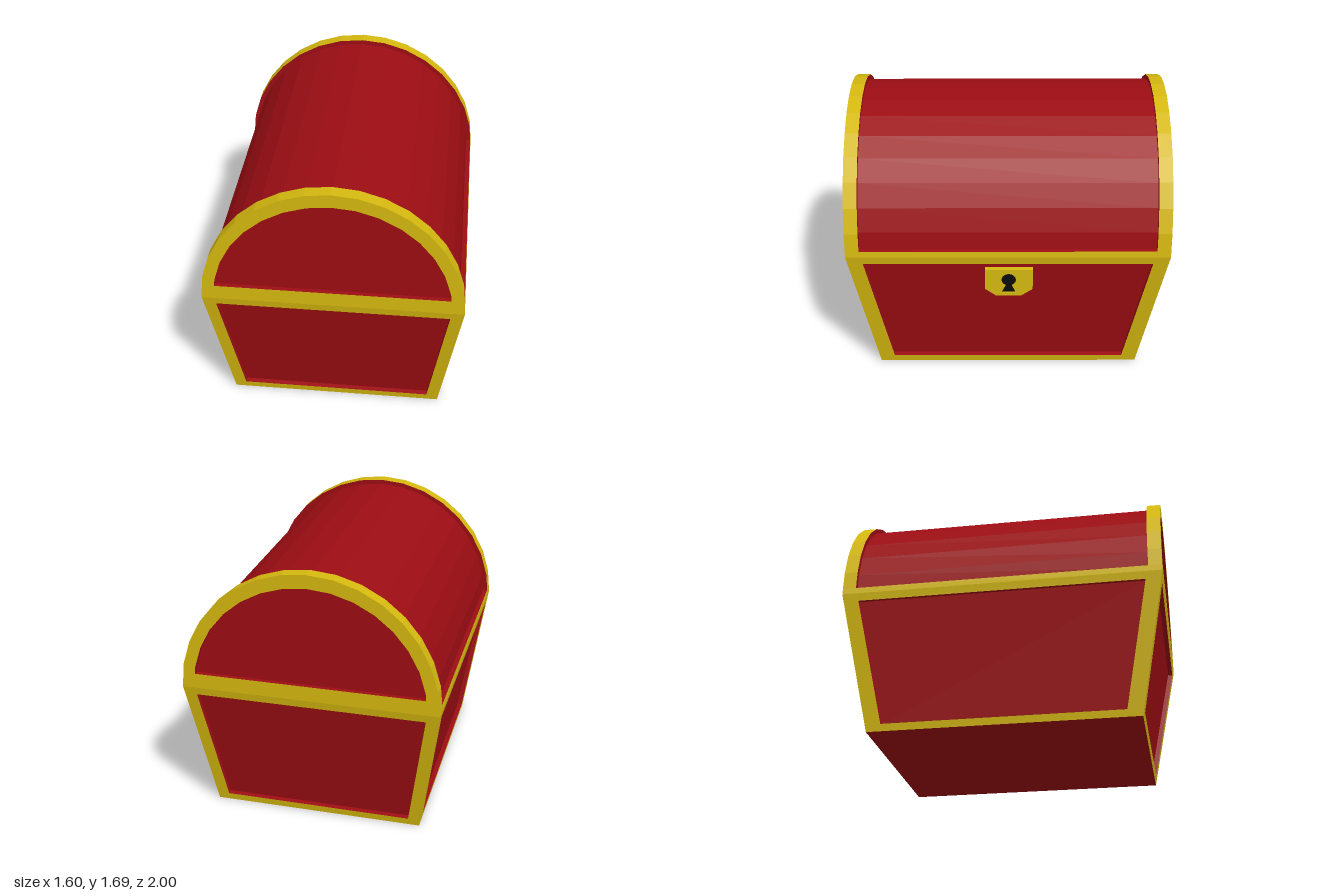
import * as THREE from 'three';

const material = (color) => new THREE.MeshStandardMaterial({ color, flatShading: true, side: THREE.DoubleSide });

// Collects quads and fans into one flat-shaded mesh
class Surface {
  constructor() { this.points = []; }
  strip(a, b, closed = false) {
    const n = closed ? a.length : a.length - 1;
    for (let i = 0; i < n; i++) {
      const j = (i + 1) % a.length;
      this.points.push(a[i], a[j], b[j], a[i], b[j], b[i]);
    }
    return this;
  }
  cap(loop) {
    for (let i = 1; i < loop.length - 1; i++) this.points.push(loop[0], loop[i], loop[i + 1]);
    return this;
  }
  mesh(name, mat) {
    const geometry = new THREE.BufferGeometry().setFromPoints(this.points);
    geometry.computeVertexNormals();
    const mesh = new THREE.Mesh(geometry, mat);
    mesh.name = name;
    return mesh;
  }
}

const V = (x, y, z) => new THREE.Vector3(x, y, z);
const RIM = 0.88;     // height where base and lid meet
const INSET = 0.03;   // depth of all recessed panels

// Half ellipse from +x over the top to -x
function arch(rx, ry, firstY, firstX) {
  const pts = [];
  for (let i = 0; i <= 16; i++) {
    const a = (i / 16) * Math.PI;
    pts.push([rx * Math.cos(a), RIM + ry * Math.sin(a)]);
  }
  if (firstY !== undefined) {
    pts[0] = [firstX, firstY];
    pts[16] = [-firstX, firstY];
  }
  return pts;
}
const atZ = (pts, z) => pts.map(([x, y]) => V(x, y, z));

// Raised border around a sunken panel; both loops run counterclockwise
function framedPanel(name, outer, inner, inward, gold, red) {
  const group = new THREE.Group();
  group.name = name;
  const sunk = inner.map((p) => p.clone().add(inward));
  group.add(new Surface().strip(outer, inner, true).mesh(name + 'Frame', gold));
  group.add(new Surface().strip(inner, sunk, true).cap(sunk).mesh(name + 'Panel', red));
  return group;
}

// One sloping wall of the base, facing +z
function baseWall(name, wBottom, wTop, dBottom, dTop, pBottom, pTop, gold, red) {
  const slope = (dTop - dBottom) / RIM;
  const quad = (y0, w0, y1, w1) =>
    [[-w0, y0], [w0, y0], [w1, y1], [-w1, y1]].map(([x, y]) => V(x, y, dBottom + slope * y));
  const inward = V(0, slope, -1).setLength(INSET);
  return framedPanel(name, quad(0, wBottom, RIM, wTop), quad(0.045, pBottom, 0.83, pTop), inward, gold, red);
}

function keyholeShape(Type) {
  const s = new Type();
  const r = 0.045, cy = 0.71, cx = 0.004;
  s.moveTo(cx - 0.045, 0.62);
  s.lineTo(cx + 0.045, 0.62);
  s.lineTo(cx + 0.02, cy - 0.04);
  s.absarc(cx, cy, r, -1.107, Math.PI + 1.107, false);
  s.closePath();
  return s;
}

function createLock(gold, black) {
  const lock = new THREE.Group();
  lock.name = 'lock';
  const plate = new THREE.Shape([[-0.143, 0.645], [-0.073, 0.595], [0.08, 0.595], [0.154, 0.645],
    [0.154, 0.785], [-0.143, 0.785]].map(([x, y]) => new THREE.Vector2(x, y)));
  plate.holes.push(keyholeShape(THREE.Path));
  const body = new THREE.Mesh(
    new THREE.ExtrudeGeometry(plate, { depth: 0.09, bevelEnabled: false, curveSegments: 16 }), gold);
  body.name = 'lockPlate';
  const hole = new THREE.Mesh(
    new THREE.ExtrudeGeometry(keyholeShape(THREE.Shape), { depth: 0.08, bevelEnabled: false, curveSegments: 16 }), black);
  hole.name = 'keyhole';
  lock.add(body, hole);
  lock.position.x = 0.702;
  lock.rotation.y = Math.PI / 2;
  return lock;
}

export function createModel() {
  const gold = material(0xd4b80f), red = material(0x9c0d13), black = material(0x0a0a0a);
  const chest = new THREE.Group();
  chest.name = 'chest';

  // Base walls and end panels of the lid, made in opposite pairs
  for (const [side, turn] of [['front', 0], ['back', Math.PI]]) {
    const end = baseWall(side + 'Wall', 0.665, 0.8, 0.835, 1, 0.595, 0.715, gold, red);
    end.rotation.y = turn;
    const lidEnd = framedPanel(side + 'LidEnd', atZ(arch(0.8, 0.81), 1),
      atZ(arch(0.725, 0.725, 0.975, 0.715), 1), V(0, 0, -INSET), gold, red);
    lidEnd.rotation.y = turn;
    const long = baseWall(side === 'front' ? 'leftWall' : 'rightWall',
      0.835, 1, 0.665, 0.8, 0.745, 0.895, gold, red);
    long.rotation.y = turn + Math.PI / 2;
    chest.add(end, lidEnd, long);
  }

  // Underside
  chest.add(new Surface().cap([V(-0.665, 0, -0.835), V(0.665, 0, -0.835), V(0.665, 0, 0.835), V(-0.665, 0, 0.835)])
    .mesh('underside', red));

  // Lid: gold hoops at both ends and a gold strip along each lower edge
  const Z = 0.915;
  const hoop = arch(0.8, 0.81, 0.92, 0.796);
  const barrel = arch(0.8 - INSET, 0.81 - INSET, 0.92, 0.796 - INSET);
  const frame = new Surface();
  frame.strip(atZ(hoop, Z), atZ(hoop, 1)).strip(atZ(hoop, -1), atZ(hoop, -Z));
  const right = [[0.8, RIM], hoop[0]], left = [hoop[16], [-0.8, RIM]];
  for (const edge of [right, left]) frame.strip(atZ(edge, -1), atZ(edge, 1));
  chest.add(frame.mesh('lidFrame', gold));

  // Lid: sunken barrel with its step walls
  const roof = new Surface().strip(atZ(barrel, -Z), atZ(barrel, Z));
  roof.strip(atZ(barrel, Z), atZ(hoop, Z)).strip(atZ(hoop, -Z), atZ(barrel, -Z));
  for (const [i, s] of [[0, 1], [16, -1]]) {
    const ledge = ([x, y]) => [V(x, y, s * Z), V(x, y, -s * Z)];
    roof.strip(ledge(hoop[i]), ledge(barrel[i]));
  }
  chest.add(roof.mesh('lidBarrel', red));

  chest.add(createLock(gold, black));
  return chest;
}
